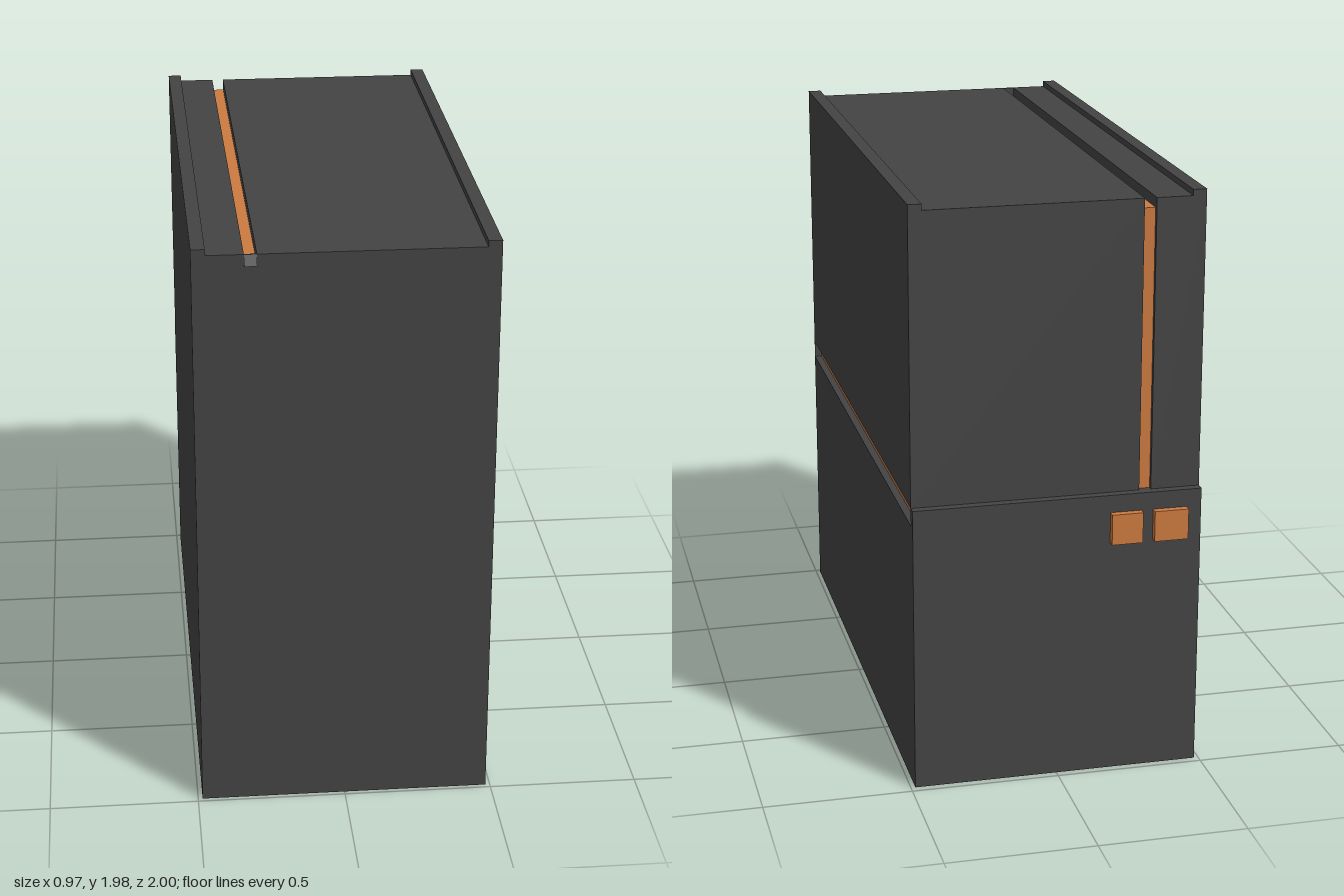
import * as THREE from 'three';

const dark = new THREE.MeshStandardMaterial({ color: 0x444444 });
const orange = new THREE.MeshStandardMaterial({ color: 0xcc7a40 });

// Outer faces of the case
const X = 0.485, FRONT = 0.985, BACK = -0.945, PANEL = -0.975, TOP = 1.96;
// Seam on the side, channel along the top and down the back
const SEAM0 = 0.92, SEAM1 = 0.98, CH0 = -0.32, CH1 = -0.28;

export function createModel() {
  const model = new THREE.Group();
  model.name = 'case';

  // Box given by its extents along each axis
  const block = (name, material, [x0, x1], [y0, y1], [z0, z1]) => {
    const mesh = new THREE.Mesh(new THREE.BoxGeometry(x1 - x0, y1 - y0, z1 - z0), material);
    mesh.position.set((x0 + x1) / 2, (y0 + y1) / 2, (z0 + z1) / 2);
    mesh.name = name;
    model.add(mesh);
    return mesh;
  };

  const depth = [BACK, FRONT - 0.005];

  // Thin front plate closing the grooves, and the lower back panel
  block('frontPlate', dark, [-X, X], [0, TOP], [FRONT - 0.005, FRONT]);
  block('backPanel', dark, [-X, X], [0, SEAM1], [PANEL, BACK]);

  // Lower body and the recessed seam with its orange strip
  block('lowerBody', dark, [-X, X], [0, SEAM0], depth);
  block('seamCore', dark, [-X, X - 0.03], [SEAM0, SEAM1], depth);
  block('sideStrip', orange, [X - 0.03, X - 0.025], [SEAM0, SEAM1], depth);

  // Upper body, split by the channel
  block('upperBodyLeft', dark, [CH1, X], [SEAM1, TOP], depth);
  block('upperBodyRight', dark, [-X, CH0], [SEAM1, TOP], depth);
  block('channelStrip', orange, [CH0, CH1], [SEAM1, TOP - 0.035], [BACK + 0.015, FRONT - 0.005]);

  // Raised rails along the top edges
  for (const side of [-1, 1]) {
    const xs = [side * 0.44, side * X].sort((a, b) => a - b);
    block(side > 0 ? 'leftRail' : 'rightRail', dark, xs, [TOP, 1.98], [BACK, FRONT]);
  }

  // Small wedge-shaped catch at the front end of the channel
  const profile = new THREE.Shape([
    new THREE.Vector2(0, 1.925), new THREE.Vector2(0.015, 1.925), new THREE.Vector2(0, TOP),
  ]);
  const catchGeometry = new THREE.ExtrudeGeometry(profile, { depth: CH1 - CH0, bevelEnabled: false });
  catchGeometry.rotateY(-Math.PI / 2);
  const frontCatch = new THREE.Mesh(catchGeometry, dark);
  frontCatch.position.set(CH1, 0, FRONT);
  frontCatch.name = 'frontCatch';
  model.add(frontCatch);

  // Two tabs on the back, either side of the channel
  block('backTabRight', orange, [-0.435, CH0], [0.815, SEAM0], [-1, PANEL]);
  block('backTabLeft', orange, [CH1, -0.175], [0.815, SEAM0], [-1, PANEL]);

  return model;
}
